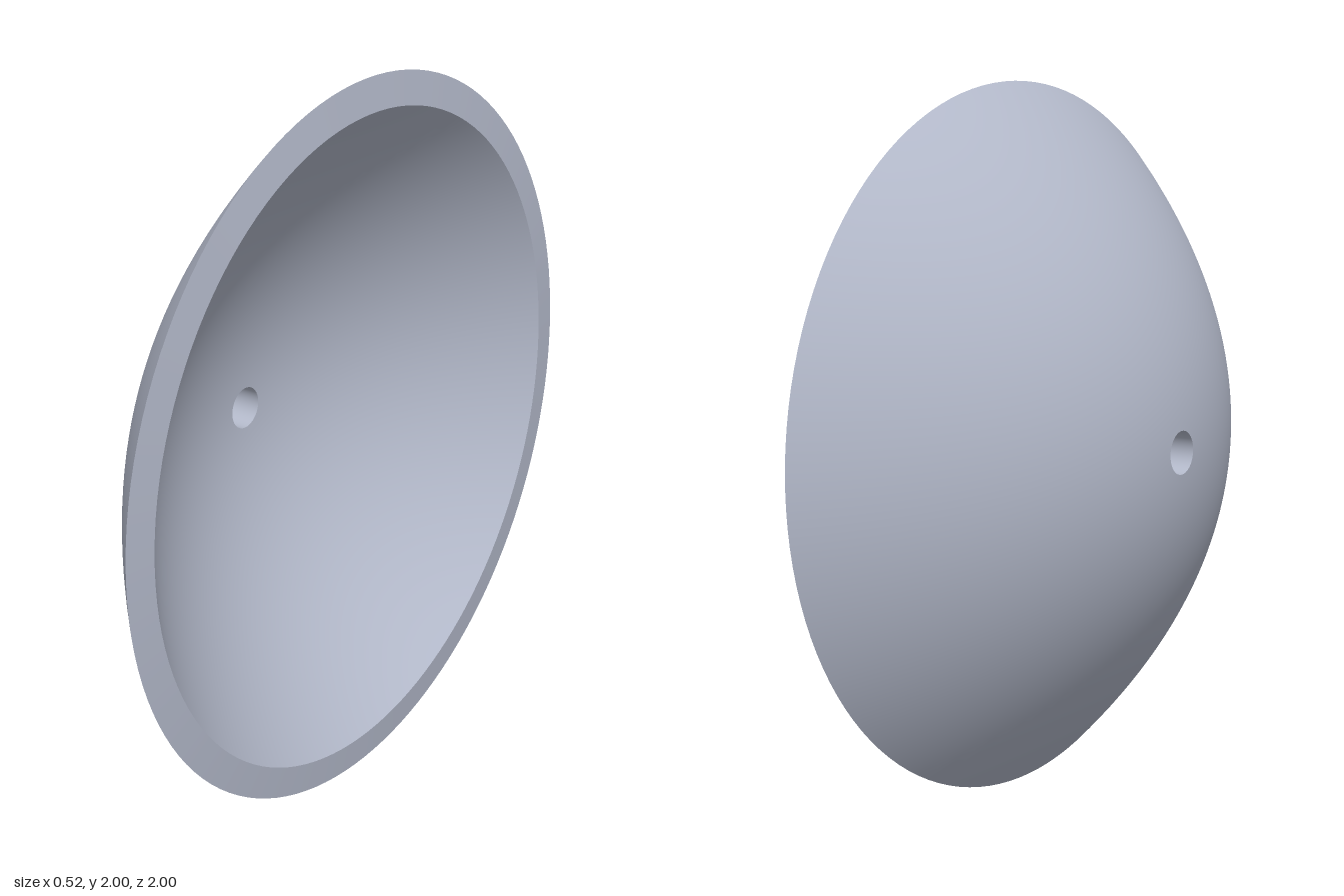
import * as THREE from 'three';

const SEGMENTS = 128;
const HOLE = 0.06; // radius of the centre hole

export function createModel() {
  const group = new THREE.Group();
  group.name = 'dish';
  const metal = new THREE.MeshStandardMaterial({ color: 0xb4bacb });
  metal.name = 'pale blue grey';

  // Parabolic profile running from the hole to the rim: (radius, axial position)
  const parabola = (apex, rimX, rimR, steps = 40) => {
    const points = [];
    for (let i = 0; i <= steps; i++) {
      const r = HOLE + (rimR - HOLE) * (i / steps);
      points.push(new THREE.Vector2(r, apex + (rimX - apex) * (r / rimR) ** 2));
    }
    return points;
  };

  const outer = parabola(-0.265, 0.25, 1);
  const inner = parabola(-0.178, 0.26, 0.91).reverse();

  // Each surface is its own lathe, so the edges between them stay sharp
  const addSurface = (name, points) => {
    const geometry = new THREE.LatheGeometry(points, SEGMENTS);
    geometry.rotateZ(-Math.PI / 2); // lathe axis to +x
    geometry.translate(0, 1, 0);
    const mesh = new THREE.Mesh(geometry, metal);
    mesh.name = name;
    group.add(mesh);
  };

  addSurface('outerShell', outer);
  addSurface('rim', [outer[outer.length - 1], inner[0]]);
  addSurface('innerShell', inner);
  addSurface('holeWall', [inner[inner.length - 1], outer[0]]);

  return group;
}
